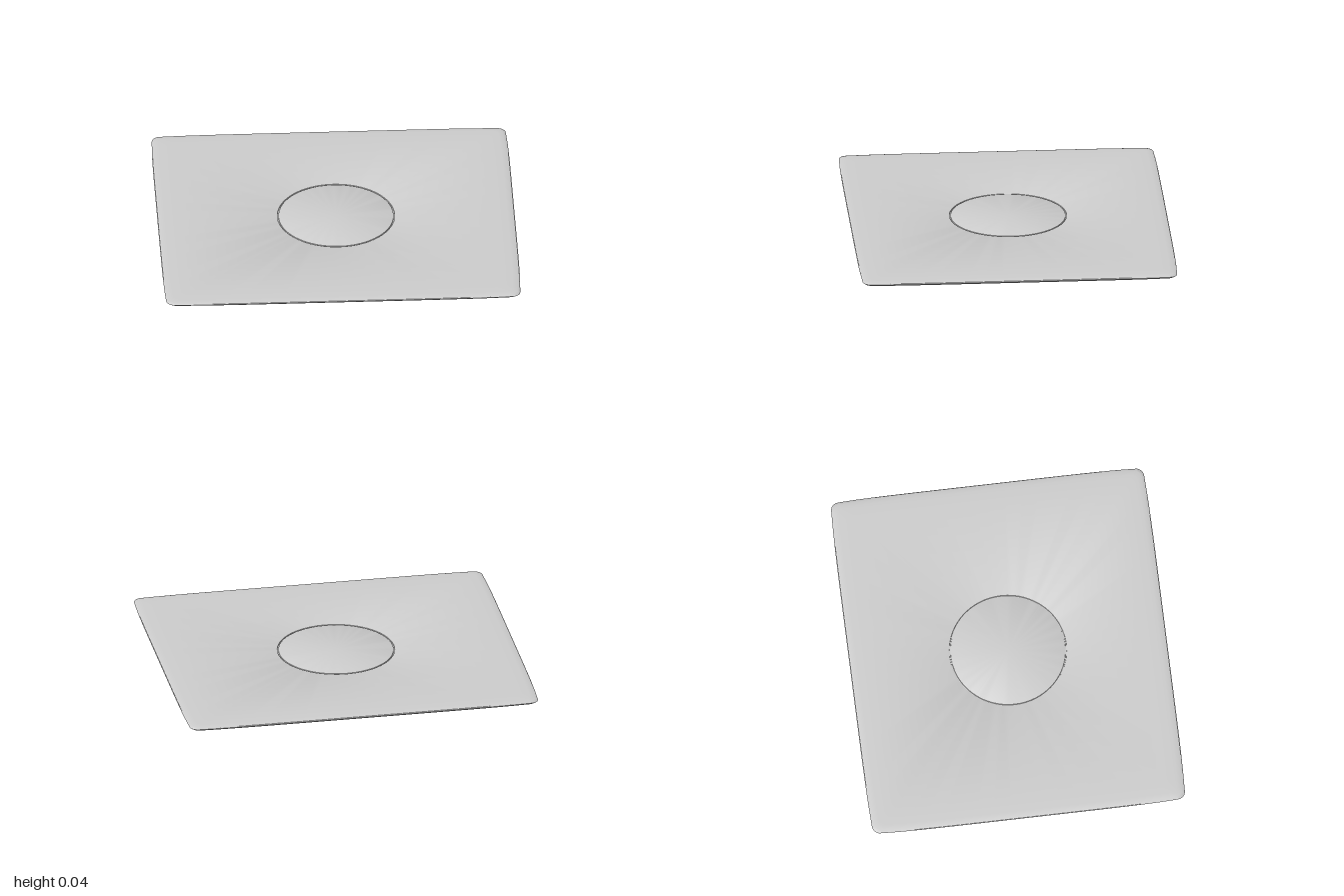
import * as THREE from 'three';
import { toCreasedNormals } from 'three/addons/utils/BufferGeometryUtils.js';

const W = 1, D = 0.89;

// Rounded rectangle outline, sides bowed out very slightly, evenly stepped
function outline() {
  const pts = [], r = 0.045, bow = 0.008, steps = 16, arc = 6;
  const hx = W - bow, hz = D - bow;
  const corners = [[1, 1], [-1, 1], [-1, -1], [1, -1]];
  corners.forEach(([sx, sz], k) => {
    const cx = sx * (hx - r), cz = sz * (hz - r);
    for (let i = 0; i <= arc; i++) {
      const a = (k + i / arc) * Math.PI / 2;
      pts.push([cx + r * Math.cos(a), cz + r * Math.sin(a)]);
    }
    const [nx, nz] = corners[(k + 1) % 4];
    const a = (k + 1) * Math.PI / 2, last = pts[pts.length - 1];
    const end = [nx * (hx - r) + r * Math.cos(a), nz * (hz - r) + r * Math.sin(a)];
    for (let i = 1; i < steps; i++) {
      const t = i / steps, b = bow * (1 - Math.pow(Math.abs(2 * t - 1), 6));
      pts.push([
        last[0] + (end[0] - last[0]) * t + Math.cos(a) * b,
        last[1] + (end[1] - last[1]) * t + Math.sin(a) * b,
      ]);
    }
  });
  return pts;
}

// Rectangular loop set in from the outline
const rect = (inset, y) => outline().map(([x, z]) => [x * (1 - inset / W), y, z * (1 - inset / D)]);

// Round loop on the same rays; dip lowers it along the four axes
const ring = (r, y, dip = 0) => outline().map(([x, z]) => {
  const a = Math.atan2(z, x);
  const c = THREE.MathUtils.smoothstep(Math.cos(4 * a), -0.2, 0.5);
  return [r * Math.cos(a), y - dip * c, r * Math.sin(a)];
});

// Joins successive loops, running from the top outward and under
function loft(loops) {
  const n = loops[0].length, index = [];
  for (let j = 0; j < loops.length - 1; j++) {
    for (let i = 0; i < n; i++) {
      const k = (i + 1) % n;
      const a = j * n + i, b = j * n + k, c = a + n, d = b + n;
      index.push(a, b, c, b, d, c);
    }
  }
  const g = new THREE.BufferGeometry();
  g.setAttribute('position', new THREE.Float32BufferAttribute(loops.flat(2), 3));
  g.setIndex(index);
  return toCreasedNormals(g, 0.6);
}

export function createModel() {
  const group = new THREE.Group();
  const mat = new THREE.MeshStandardMaterial({ color: 0xcccccc });
  const add = (name, geo) => {
    const m = new THREE.Mesh(geo, mat);
    m.name = name;
    group.add(m);
    return m;
  };

  // Square plate with rounded rim, small lip below and a round opening
  add('plate', loft([
    ring(0.328, 0.029), ring(0.329, 0.035), ring(0.334, 0.037),
    rect(0.10, 0.037), rect(0.04, 0.0362), rect(0.015, 0.034), rect(0.003, 0.03),
    rect(0, 0.026), rect(0.005, 0.021), rect(0.012, 0.015), rect(0.022, 0.014),
    rect(0.032, 0.02), ring(0.36, 0.02), ring(0.348, 0.017),
  ]));

  // Centre disc, separated by a fine groove
  add('centreDisc', loft([
    ring(0.0001, 0.037), ring(0.318, 0.037), ring(0.322, 0.035), ring(0.323, 0.029), ring(0.328, 0.029),
  ]));

  // Collar under the disc, hollow inside
  add('collar', loft([
    ring(0.348, 0.018), ring(0.346, 0.008, 0.003), ring(0.338, 0.005, 0.005),
    ring(0.326, 0.006, 0.005), ring(0.308, 0.024), ring(0.30, 0.026), ring(0.0001, 0.026),
  ]));

  // Faint raised bands from the collar to the four edges
  for (let i = 0; i < 4; i++) {
    const alongX = i % 2 === 0;
    const end = (alongX ? W : D) - 0.035, length = end - 0.34;
    const shape = new THREE.Shape([[-0.095, 0], [-0.08, -0.0015], [0.08, -0.0015], [0.095, 0]]
      .map(([x, y]) => new THREE.Vector2(x, y)));
    const geo = new THREE.ExtrudeGeometry(shape, { depth: length, bevelEnabled: false });
    geo.translate(0, 0.0201, 0.34);
    add('undersideBand', geo).rotation.y = (i + 1) * Math.PI / 2;
  }
  return group;
}
